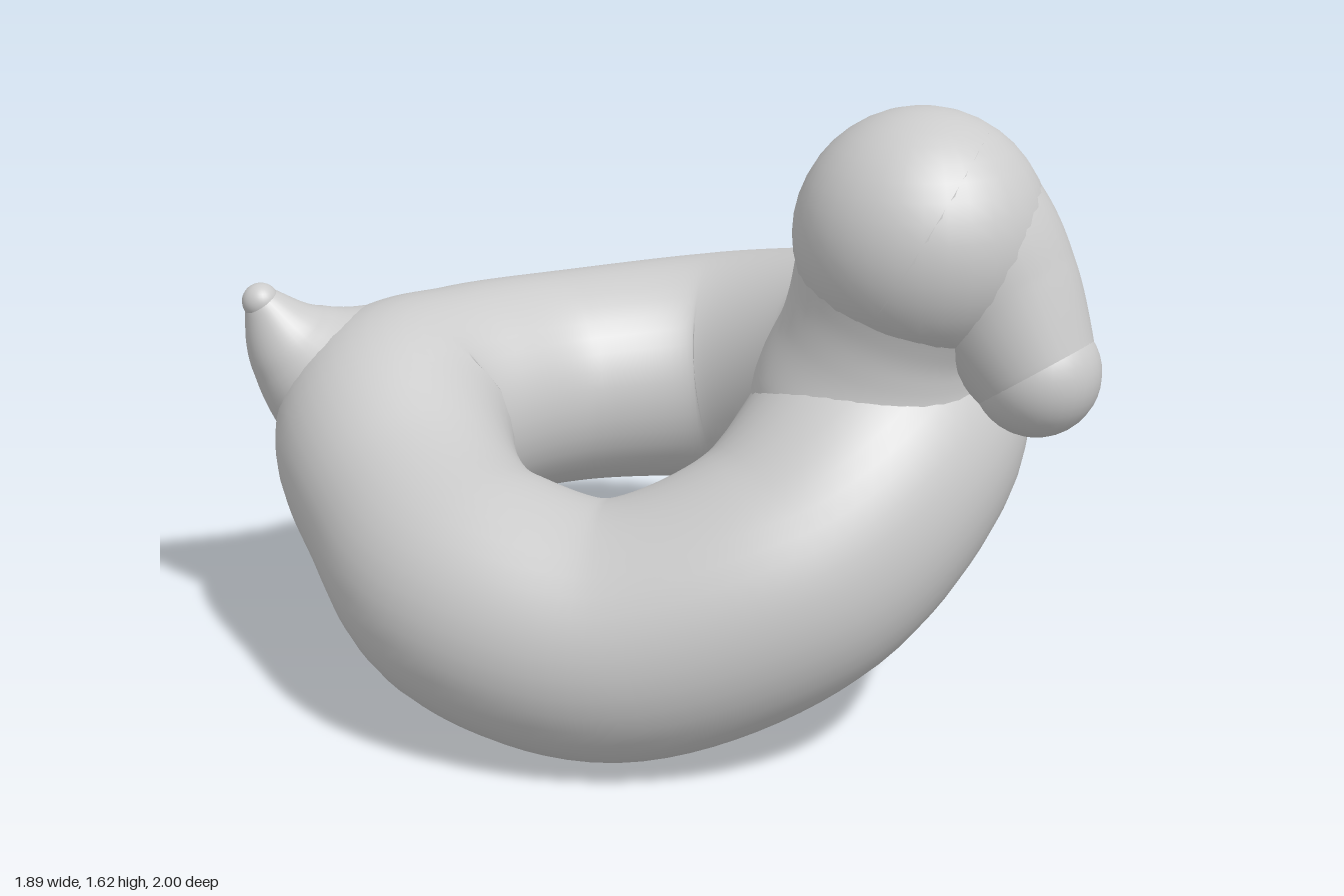
import * as THREE from 'three';

const material = new THREE.MeshStandardMaterial({ color: 0xcccccc });

// Round tube through [x, y, z, radius] stations, with smoothly changing radius
function sweep(stations, ref, closed = false, steps = 40, sides = 32) {
  const path = new THREE.CatmullRomCurve3(stations.map(s => new THREE.Vector3(...s)), closed, 'catmullrom');
  const radii = new THREE.CatmullRomCurve3(stations.map(s => new THREE.Vector3(s[3], 0, 0)), closed, 'catmullrom');
  const rings = closed ? steps : steps + 1;
  const positions = [], index = [];
  for (let i = 0; i < rings; i++) {
    const t = i / steps;
    const p = path.getPoint(t), r = radii.getPoint(t).x, tangent = path.getTangent(t);
    const n1 = new THREE.Vector3().crossVectors(tangent, ref).normalize();
    const n2 = new THREE.Vector3().crossVectors(tangent, n1);
    for (let j = 0; j < sides; j++) {
      const a = (j / sides) * Math.PI * 2;
      const v = p.clone().addScaledVector(n1, r * Math.cos(a)).addScaledVector(n2, r * Math.sin(a));
      positions.push(v.x, v.y, v.z);
    }
  }
  for (let i = 0; i < steps; i++) {
    for (let j = 0; j < sides; j++) {
      const k = (j + 1) % sides, next = (i + 1) % rings;
      const a = i * sides + j, b = i * sides + k, c = next * sides + j, d = next * sides + k;
      index.push(a, b, c, b, d, c);
    }
  }
  const geometry = new THREE.BufferGeometry();
  geometry.setAttribute('position', new THREE.Float32BufferAttribute(positions, 3));
  geometry.setIndex(index);
  geometry.computeVertexNormals();
  return geometry;
}

export function createModel() {
  const model = new THREE.Group();
  model.name = 'coiledCreature';
  const X = new THREE.Vector3(1, 0, 0), Y = new THREE.Vector3(0, 1, 0), Z = new THREE.Vector3(0, 0, 1);

  const add = (name, geometry) => {
    const mesh = new THREE.Mesh(geometry, material);
    mesh.name = name;
    model.add(mesh);
    return mesh;
  };
  const ball = (name, [x, y, z, r]) =>
    add(name, new THREE.SphereGeometry(r, 32, 20)).position.set(x, y, z);

  // Coiled body: a closed ring, low at front left and high at front right
  add('body', sweep([
    [0.05, 0.645, -0.695, 0.303],
    [0.46, 0.665, -0.525, 0.322],
    [0.625, 0.765, -0.1, 0.312],
    [0.555, 0.835, 0.22, 0.315],
    [0.32, 0.75, 0.49, 0.345],
    [0.0, 0.505, 0.555, 0.335],
    [-0.36, 0.332, 0.37, 0.328],
    [-0.605, 0.38, 0.08, 0.325],
    [-0.635, 0.485, -0.25, 0.3],
    [-0.55, 0.615, -0.575, 0.328],
    [-0.3, 0.645, -0.675, 0.308],
  ], Y, true, 120, 40));

  // Thick neck rising out of the body
  add('neck', sweep([
    [0.29, 0.78, 0.5, 0.33],
    [0.29, 0.91, 0.5, 0.305],
    [0.295, 1.04, 0.53, 0.265],
    [0.31, 1.15, 0.56, 0.268],
    [0.335, 1.31, 0.61, 0.3],
  ], X));

  // Head with a drooping, rounded snout
  const skull = [0.335, 1.31, 0.61, 0.312], nose = [0.525, 0.995, 0.84, 0.157];
  ball('head', skull);
  add('snout', sweep([
    skull,
    [0.415, 1.25, 0.675, 0.265],
    [0.475, 1.15, 0.745, 0.215],
    nose,
  ], X));
  ball('snoutTip', nose);

  // Tail continuing the back of the coil and tapering upward
  const tip = [-0.862, 0.972, -0.755, 0.05];
  add('tail', sweep([
    [-0.32, 0.645, -0.655, 0.29],
    [-0.5, 0.655, -0.665, 0.295],
    [-0.67, 0.745, -0.71, 0.225],
    [-0.785, 0.85, -0.745, 0.135],
    tip,
  ], Z));
  ball('tailTip', tip);

  return model;
}
